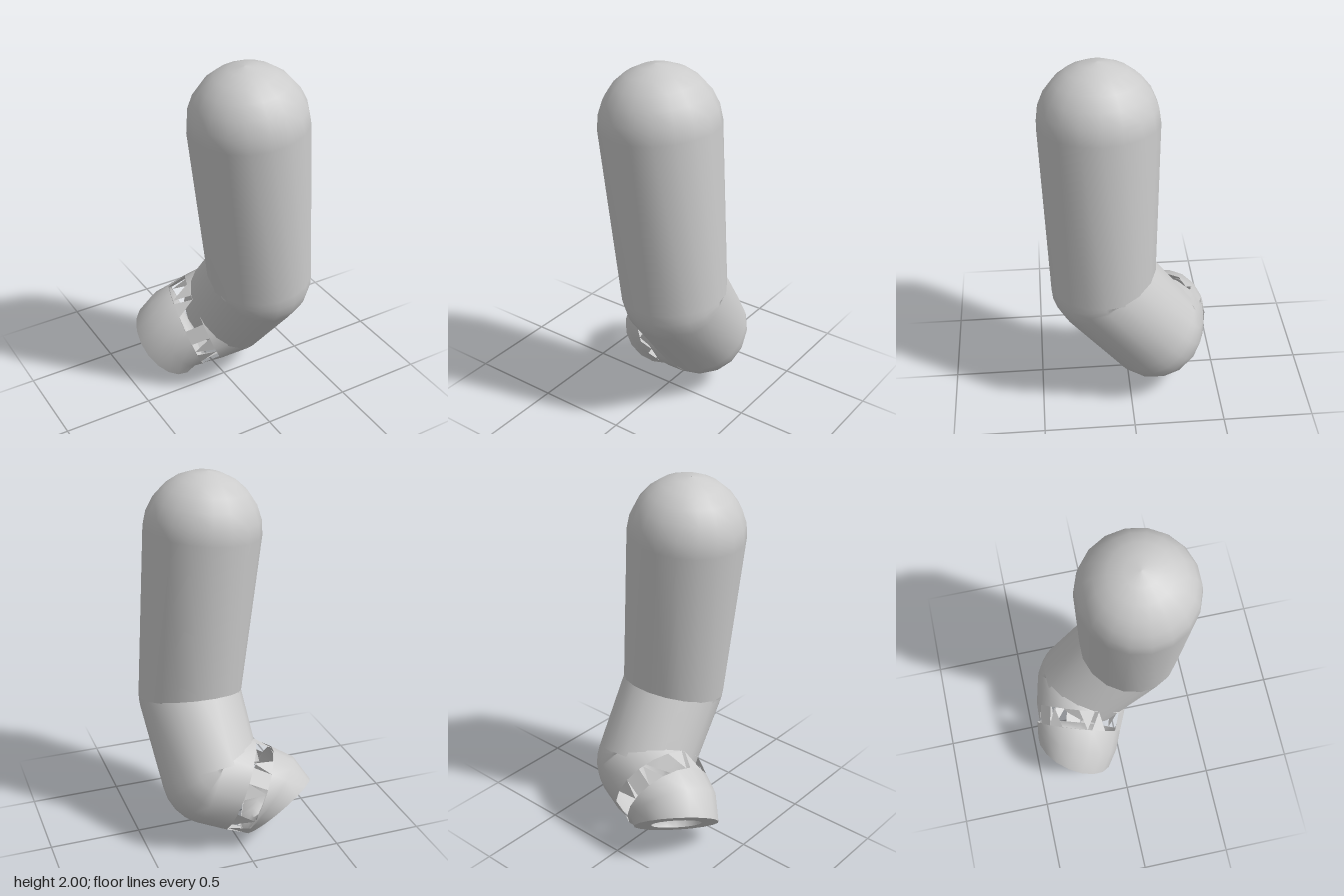
import * as THREE from 'three';

const SIDES = 18;
const V = (x, y, z) => new THREE.Vector3(x, y, z);

// Rings of points along a list of stations { p, t, r }, carried without twist
function makeRings(stations) {
  const u = V(1, 0, 0);
  let last = stations[0].t.clone();
  u.addScaledVector(last, -u.dot(last)).normalize();
  return stations.map(({ p, t, r }) => {
    u.applyQuaternion(new THREE.Quaternion().setFromUnitVectors(last, t)).normalize();
    last = t;
    const v = t.clone().cross(u);
    return Array.from({ length: SIDES }, (_, k) => {
      const a = (k / SIDES) * Math.PI * 2;
      return p.clone().addScaledVector(u, r * Math.cos(a)).addScaledVector(v, r * Math.sin(a));
    });
  });
}

// Smooth skin over consecutive rings
function skin(rings) {
  const index = [];
  for (let i = 0; i < rings.length - 1; i++) {
    for (let k = 0; k < SIDES; k++) {
      const a = i * SIDES + k, b = i * SIDES + (k + 1) % SIDES;
      index.push(a, b, a + SIDES, b, b + SIDES, a + SIDES);
    }
  }
  const g = new THREE.BufferGeometry().setFromPoints(rings.flat());
  g.setIndex(index);
  g.computeVertexNormals();
  return g;
}

export function createModel() {
  const group = new THREE.Group();
  const material = new THREE.MeshStandardMaterial({ color: 0xcccccc, side: THREE.DoubleSide });
  const add = (name, geometry) => {
    const mesh = new THREE.Mesh(geometry, material);
    mesh.name = name;
    group.add(mesh);
  };

  // Joints of the limb, from the domed top to the open end
  const top = V(0.053, 1.68, 0.15), knee = V(0.14, 0.74, 0.145);
  const ankle = V(0.11, 0.36, -0.14), wrist = V(-0.19, 0.24, -0.24), mouth = V(-0.235, 0.165, -0.27);
  const dir = (a, b) => b.clone().sub(a).normalize();
  const t1 = dir(top, knee), t2 = dir(knee, ankle), t3 = dir(ankle, wrist);
  const t4 = V(-0.5, -0.7, -0.5).normalize();
  const st = [];

  // Domed top
  for (let i = 0; i <= 6; i++) {
    const a = (1 - i / 6) * Math.PI / 2;
    st.push({ p: top.clone().addScaledVector(t1, -0.317 * Math.sin(a)), t: t1, r: Math.max(0.001, 0.317 * Math.cos(a)) });
  }
  // Bends: rings fan around the joint
  const bend = (p, a, b, r, n) => {
    for (let i = 0; i <= n; i++) st.push({ p, t: a.clone().lerp(b, i / n).normalize(), r });
  };
  bend(knee, t1, t2, 0.285, 3);
  bend(ankle, t2, t3, 0.275, 4);
  // Torn edge, then the short end piece beyond the gap
  st.push({ p: ankle.clone().addScaledVector(t3, 0.16), t: t3, r: 0.265 });
  const torn = st.length - 1;
  st.push({ p: ankle.clone().addScaledVector(t3, 0.27), t: t3, r: 0.252 });
  const mid = t3.clone().add(t4).normalize();
  st.push({ p: wrist, t: mid, r: 0.245 });
  st.push({ p: mouth, t: t4, r: 0.235 });
  // Inner bore, running back from the mouth to the gap
  st.push({ p: mouth, t: t4, r: 0.14 });
  st.push({ p: wrist, t: mid, r: 0.16 });
  st.push({ p: ankle.clone().addScaledVector(t3, 0.27), t: t3, r: 0.24 });

  const rings = makeRings(st);
  add('limb', skin(rings.slice(0, torn + 1)));
  add('endPiece', skin(rings.slice(torn + 1, torn + 4)));
  add('endRim', skin(rings.slice(torn + 3, torn + 5)));
  add('endBore', skin(rings.slice(torn + 4, torn + 7)));

  // Jagged shards bridging the gap: full panels, teeth from either edge, holes
  const A = rings[torn], B = rings[torn + 1], pts = [];
  const pattern = 'uqd.uduq.du.dqu.ud';
  for (let k = 0; k < SIDES; k++) {
    const n = (k + 1) % SIDES;
    const a = A[k], b = A[n], c = B[k], d = B[n];
    const kind = pattern[k];
    if (kind === 'q') pts.push(a, b, c, b, d, c);
    if (kind === 'u') pts.push(a, b, c.clone().lerp(d, 0.3));
    if (kind === 'd') pts.push(c, a.clone().lerp(b, 0.7), d);
  }
  const shards = new THREE.BufferGeometry().setFromPoints(pts);
  shards.computeVertexNormals();
  add('brokenBand', shards);
  return group;
}
